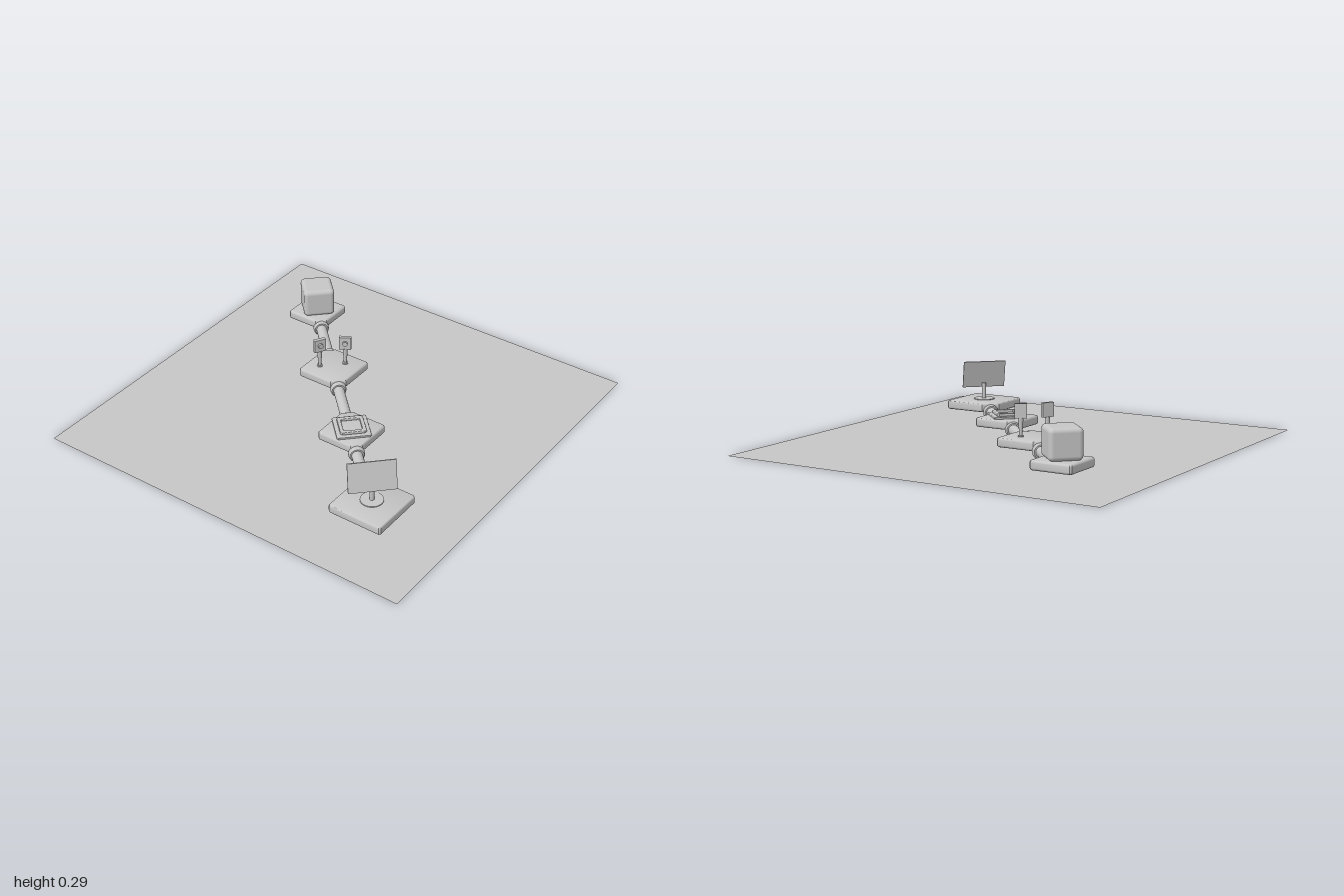
import * as THREE from 'three';
import { toCreasedNormals } from 'three/addons/utils/BufferGeometryUtils.js';
import { RoundedBoxGeometry } from 'three/addons/geometries/RoundedBoxGeometry.js';

const grey = new THREE.MeshStandardMaterial({ color: 0xc6c6c6 });
grey.name = 'plain grey';
grey.side = THREE.DoubleSide;

const PIPE_Y = 0.04, DECK_TOP = 0.086;

function add(parent, name, geometry, x = 0, y = 0, z = 0) {
  const mesh = new THREE.Mesh(geometry, grey);
  mesh.name = name;
  mesh.position.set(x, y, z);
  parent.add(mesh);
  return mesh;
}

// Flat slab with softened edges: its outline lies in x/z, its underside at y = 0
function slab(points, height, bevel, hole) {
  const shape = new THREE.Shape(points.map(([x, z]) => new THREE.Vector2(x, z)));
  if (hole) shape.holes.push(new THREE.Path(hole.map(([x, z]) => new THREE.Vector2(x, z))));
  const geo = new THREE.ExtrudeGeometry(shape, {
    depth: height - 2 * bevel, bevelThickness: bevel, bevelSize: bevel,
    bevelOffset: -bevel, bevelSegments: 4,
  });
  geo.rotateX(Math.PI / 2).translate(0, height - bevel, 0);
  return toCreasedNormals(geo, 0.6);
}

// Square with all four corners cut; c0 = (-,-) corner, c1 = (+,+) corner, c = the others
function cutSquare(half, c0, c1, c) {
  const h = half;
  return [
    [-h + c0, -h], [h - c, -h], [h, -h + c], [h, h - c1],
    [h - c1, h], [-h + c, h], [-h, h - c], [-h, -h + c0],
  ];
}

export function createModel() {
  const model = new THREE.Group();
  model.name = 'moduleChain';

  // Ground sheet
  add(model, 'groundSheet', new THREE.PlaneGeometry(2, 2).rotateX(-Math.PI / 2), 0, 0.001, 0);

  // Four decks on the diagonal: centre, half size, cut towards -x-z, cut towards +x+z
  const decks = [
    [-0.575, 0.108, 0.008, 0.042], [-0.193, 0.126, 0.05, 0.055],
    [0.187, 0.117, 0.045, 0.04], [0.573, 0.143, 0.065, 0.008],
  ];
  decks.forEach(([t, half, c0, c1], i) => {
    add(model, 'deck' + (i + 1), slab(cutSquare(half, c0, c1, 0.008), 0.048, 0.012), t, DECK_TOP - 0.048, t);
  });

  // Pipes joining the decks, each with a rounded collar at both ends
  const collarProfile = [[0.02, -0.016], [0.034, -0.016], [0.038, -0.012], [0.04, -0.005],
    [0.04, 0.005], [0.038, 0.012], [0.034, 0.016], [0.02, 0.016]]
    .map(([r, y]) => new THREE.Vector2(r, y));
  const collarGeo = toCreasedNormals(new THREE.LatheGeometry(collarProfile, 32), 0.7);
  [[-0.487, -0.3], [-0.09, 0.097], [0.288, 0.456]].forEach(([a, b]) => {
    const link = new THREE.Group();
    link.name = 'pipeLink';
    const mid = (a + b) / 2, len = (b - a) * Math.SQRT2;
    link.position.set(mid, PIPE_Y, mid);
    link.rotation.set(Math.PI / 2, Math.PI / 4, 0, 'YXZ');
    add(link, 'pipe', new THREE.CylinderGeometry(0.027, 0.027, len + 0.03, 32));
    for (const s of [-1, 1]) add(link, 'collar', collarGeo, 0, s * len / 2, 0);
    model.add(link);
  });

  // Rounded block on the first deck
  const block = add(model, 'block', new RoundedBoxGeometry(0.16, 0.15, 0.16, 5, 0.022),
    -0.575, DECK_TOP + 0.074, -0.575);
  block.rotation.y = Math.PI / 4;

  // Two sensors on the second deck, turned inwards
  [[-0.247, -0.148, 60], [-0.155, -0.24, 30]].forEach(([x, z, deg]) => {
    const sensor = new THREE.Group();
    sensor.name = 'sensor';
    sensor.position.set(x, DECK_TOP, z);
    sensor.rotation.y = THREE.MathUtils.degToRad(deg);
    add(sensor, 'foot', new THREE.CylinderGeometry(0.014, 0.014, 0.006, 20), 0, 0.002, 0);
    add(sensor, 'post', new THREE.CylinderGeometry(0.013, 0.007, 0.092, 16), 0, 0.045, 0);
    add(sensor, 'head', new THREE.BoxGeometry(0.06, 0.07, 0.018), 0, 0.124, 0);
    add(sensor, 'lens', new THREE.CylinderGeometry(0.013, 0.013, 0.014, 20).rotateX(Math.PI / 2), 0, 0.126, 0.012);
    model.add(sensor);
  });

  // Diamond plate with a raised frame on the third deck
  const pad = new THREE.Group();
  pad.name = 'pad';
  pad.position.set(0.187, DECK_TOP, 0.187);
  pad.rotation.y = Math.PI / 4;
  add(pad, 'padPlate', slab(cutSquare(0.084, 0.006, 0.006, 0.006), 0.012, 0.004), 0, -0.001, 0);
  add(pad, 'padFrame', slab(cutSquare(0.064, 0.01, 0.01, 0.01), 0.016, 0.004,
    cutSquare(0.046, 0.006, 0.006, 0.006)), 0, 0.009, 0);
  model.add(pad);

  // Tilted panel on a post on the fourth deck
  const display = new THREE.Group();
  display.name = 'display';
  display.position.set(0.573, DECK_TOP, 0.573);
  display.rotation.y = Math.PI / 4;
  add(display, 'displayFoot', new THREE.CylinderGeometry(0.055, 0.055, 0.005, 40), 0, 0.0015, 0);
  add(display, 'displayPost', new THREE.CylinderGeometry(0.011, 0.011, 0.09, 20), 0, 0.042, 0);
  const panel = add(display, 'panel', new THREE.BoxGeometry(0.226, 0.146, 0.007), 0, 0.134, 0);
  panel.rotation.x = -THREE.MathUtils.degToRad(15);
  model.add(display);

  return model;
}
